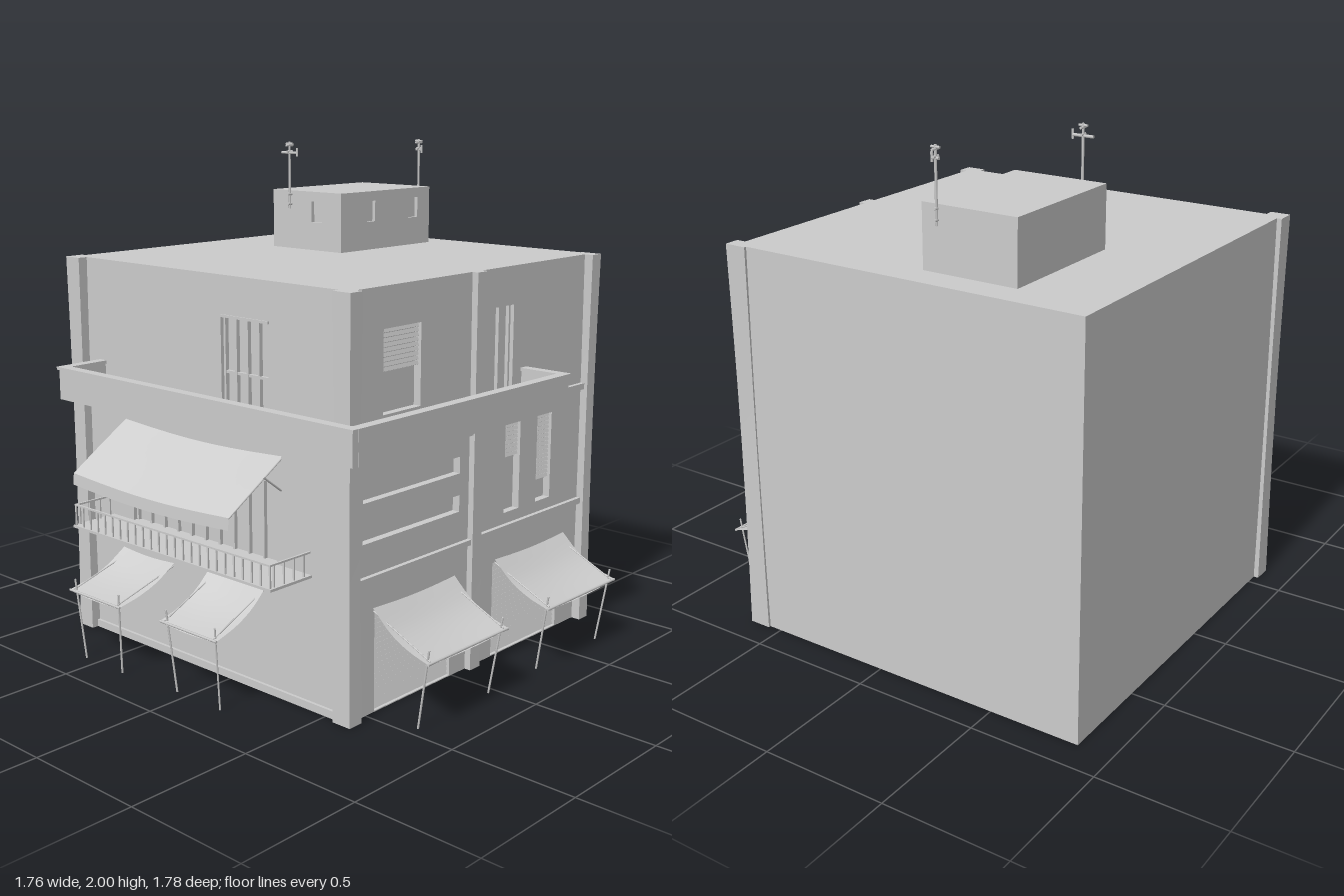
import * as THREE from 'three';

const mat = new THREE.MeshStandardMaterial({ color: 0xcccccc, side: THREE.DoubleSide });

function add(parent, name, geo) {
  const m = new THREE.Mesh(geo, mat);
  m.name = name;
  parent.add(m);
  return m;
}

// Box given by its min and max on each axis
function box(parent, name, x0, x1, y0, y1, z0, z1) {
  const m = add(parent, name, new THREE.BoxGeometry(x1 - x0, y1 - y0, z1 - z0));
  m.position.set((x0 + x1) / 2, (y0 + y1) / 2, (z0 + z1) / 2);
  return m;
}

// Thin round bar between two points
function rod(parent, name, a, b, r = 0.004) {
  const A = new THREE.Vector3(...a), B = new THREE.Vector3(...b);
  const m = add(parent, name, new THREE.CylinderGeometry(r, r, A.distanceTo(B), 6));
  m.position.copy(A).add(B).multiplyScalar(0.5);
  m.quaternion.setFromUnitVectors(new THREE.Vector3(0, 1, 0), B.sub(A).normalize());
  return m;
}

function group(parent, name) {
  const g = new THREE.Group();
  g.name = name;
  parent.add(g);
  return g;
}

// Wall in its own plane: outer face at z = 0, openings [u0, u1, v0, v1] cut through
function wall(parent, name, u0, u1, v0, v1, holes, t = 0.035) {
  const rect = (C, a, b, c, d) => new C([[a, c], [b, c], [b, d], [a, d]].map(p => new THREE.Vector2(...p)));
  const shape = rect(THREE.Shape, u0, u1, v0, v1);
  for (const h of holes) shape.holes.push(rect(THREE.Path, ...h));
  const geo = new THREE.ExtrudeGeometry(shape, { depth: t, bevelEnabled: false });
  add(parent, name, geo.translate(0, 0, -t));
  for (const [a, b, c, d] of holes) box(parent, 'openingBack', a, b, c, d, -t, -t + 0.004);
}

// Stack of tilted slats filling a rectangle
function slats(parent, name, u0, u1, v0, v1, n) {
  const g = group(parent, name), s = (v1 - v0) / n;
  for (let i = 0; i < n; i++) {
    const m = box(g, 'slat', u0, u1, v0 + s * i, v0 + s * (i + 0.85), -0.019, -0.013);
    m.rotation.x = -0.35;
  }
}

// Square pillar that narrows slightly at mid height
function pillar(parent, x0, x1, z0, z1, h, waist = 0.86) {
  const geo = new THREE.BoxGeometry(x1 - x0, h, z1 - z0, 1, 6, 1);
  const p = geo.attributes.position;
  for (let i = 0; i < p.count; i++) {
    const t = p.getY(i) / h + 0.5, k = 1 - (1 - waist) * Math.sin(Math.PI * t);
    p.setX(i, p.getX(i) * k);
    p.setZ(i, p.getZ(i) * k);
  }
  geo.computeVertexNormals();
  add(parent, 'pillar', geo).position.set((x0 + x1) / 2, h / 2, (z0 + z1) / 2);
}

// Cloth following a profile of [v, w] points, with its middle hanging lower
function cloth(parent, name, u0, u1, profile, sag) {
  const curve = new THREE.CatmullRomCurve3(profile.map(([v, w]) => new THREE.Vector3(0, v, w)));
  const geo = new THREE.PlaneGeometry(u1 - u0, 1, 10, 8), p = geo.attributes.position;
  for (let i = 0; i < p.count; i++) {
    const c = curve.getPoint(0.5 - p.getY(i));
    const k = Math.cos(Math.PI * p.getX(i) / (u1 - u0));
    p.setXYZ(i, p.getX(i) + (u0 + u1) / 2, c.y - sag * k, c.z);
  }
  geo.computeVertexNormals();
  add(parent, name, geo);
}

// Ground floor awning on two leaning poles
function poleAwning(parent, u0, u1, top, low, w, footIn, footW) {
  const g = group(parent, 'poleAwning'), d = top - low;
  cloth(g, 'awningCloth', u0, u1, [[top, 0.015], [low + d * 0.5, w * 0.35], [low + d * 0.2, w * 0.65], [low, w]], 0.008);
  rod(g, 'awningRod', [u0, low, w - 0.004], [u1, low, w - 0.004], 0.005);
  for (const [u, s] of [[u0 + 0.02, 1], [u1 - 0.02, -1]]) {
    rod(g, 'awningPole', [u, low + 0.045, w - 0.015], [u + s * footIn, 0, footW], 0.004);
    rod(g, 'awningArm', [u, top - 0.02, 0], [u, low + 0.005, w - 0.01], 0.003);
  }
}

function antenna(parent, x, z, wide) {
  const g = group(parent, 'antenna');
  rod(g, 'mast', [x, 1.72, z], [x, 1.995, z], 0.005);
  for (const y of [1.74, 1.78]) rod(g, 'mastClamp', [x, y, z - 0.012], [x, y, z + 0.012], 0.006);
  rod(g, 'topBar', [x - 0.018, 1.987, z], [x + 0.018, 1.987, z], 0.005);
  rod(g, 'topCross', [x, 1.98, z - 0.02], [x, 1.98, z + 0.02], 0.005);
  rod(g, 'crossbar', [x - wide, 1.95, z], [x + wide, 1.95, z], 0.006);
  rod(g, 'crossbarTip', [x + wide, 1.935, z], [x + wide, 1.97, z], 0.005);
  rod(g, 'sideBar', [x, 1.955, z - 0.015], [x, 1.955, z + 0.015], 0.005);
}

export function createModel() {
  const model = new THREE.Group();
  model.name = 'building';
  const H = 1.555;

  // Shell, open underneath
  box(model, 'leftWall', -0.865, -0.83, 0, H, -0.88, 0.59);
  box(model, 'backWall', -0.865, 0.605, 0, H, -0.88, -0.845);
  box(model, 'roof', -0.865, 0.605, H - 0.02, H, -0.88, 0.59);

  // Pillars at the corners and the middle of the right side
  pillar(model, -0.885, -0.805, 0.55, 0.63, H);
  pillar(model, 0.553, 0.635, 0.555, 0.62, H);
  pillar(model, 0.553, 0.643, -0.89, -0.83, H);
  pillar(model, 0.575, 0.632, -0.145, -0.083, H, 0.9);

  // Front side
  const front = group(model, 'frontSide');
  front.position.z = 0.59;
  wall(front, 'frontWall', -0.865, 0.605, 0, H, [[-0.03, 0.215, 1.04, 1.405], [-0.56, 0.25, 0.515, 0.82]]);
  box(front, 'skirting', -0.81, 0.56, 0, 0.03, 0, 0.012);
  box(front, 'doorLintel', -0.035, 0.22, 1.4, 1.41, -0.02, 0.006);
  for (let i = 0; i <= 4; i++) {
    const u = -0.025 + i * 0.059;
    box(front, 'doorStile', u - 0.005, u + 0.005, 1.04, 1.4, -0.03, -0.014);
  }
  box(front, 'doorRail', -0.03, 0.215, 1.19, 1.2, -0.03, -0.016);
  for (let i = 0; i <= 10; i++) {
    const u = -0.555 + i * 0.08;
    box(front, 'balconyDoorStile', u - 0.005, u + 0.005, 0.515, 0.82, -0.032, -0.016);
  }

  // Narrow balcony with railing
  const small = group(front, 'smallBalcony');
  box(small, 'balconyFloor', -0.685, 0.425, 0.505, 0.515, 0, 0.207);
  box(small, 'frontRail', -0.678, 0.418, 0.595, 0.602, 0.195, 0.203);
  for (let i = 0; i <= 24; i++) {
    const u = -0.674 + i * 1.088 / 24;
    box(small, 'baluster', u - 0.003, u + 0.003, 0.515, 0.597, 0.196, 0.202);
  }
  for (const u of [-0.674, 0.414]) {
    box(small, 'sideRail', u - 0.004, u + 0.004, 0.595, 0.602, 0, 0.2);
    for (let i = 0; i < 4; i++) {
      const w = 0.03 + i * 0.05;
      box(small, 'sideBaluster', u - 0.003, u + 0.003, 0.515, 0.597, w - 0.003, w + 0.003);
    }
  }

  // Wide awning with a valance and braces
  const wide = group(front, 'wideAwning');
  cloth(wide, 'awningCloth', -0.585, 0.285, [[0.93, 0.005], [0.845, 0.14], [0.76, 0.27]], 0.018);
  cloth(wide, 'valance', -0.585, 0.285, [[0.76, 0.27], [0.715, 0.274]], 0.018);
  for (const u of [-0.575, 0.275]) {
    rod(wide, 'awningArm', [u, 0.918, 0], [u, 0.755, 0.262], 0.004);
    rod(wide, 'awningBrace', [u, 0.8, 0], [u, 0.868, 0.09], 0.004);
  }
  poleAwning(front, -0.61, -0.305, 0.395, 0.285, 0.295, 0.022, 0.255);
  poleAwning(front, -0.09, 0.215, 0.435, 0.285, 0.278, 0.015, 0.23);

  // Right side, drawn in its own plane with u running to the back
  const right = group(model, 'rightSide');
  right.position.x = 0.605;
  right.rotation.y = Math.PI / 2;
  const garages = [[-0.455, -0.015, 0.004, 0.39], [0.25, 0.7, 0.004, 0.39]];
  const tall = [[0.315, 0.415, 0.58, 0.935], [0.53, 0.63, 0.58, 0.935]];
  const slots = [[-0.52, 0.03, 0.8, 0.865], [-0.52, 0.03, 0.65, 0.715]];
  wall(right, 'rightWall', -0.59, 0.88, 0, H, [...garages, ...tall, ...slots,
    [-0.415, -0.21, 1.1, 1.405], [0.21, 0.35, 1.04, 1.405]]);
  for (const [a, b, c, d] of garages) slats(right, 'rollerShutter', a, b, c, d, 20);
  slats(right, 'upperBlind', -0.415, -0.21, 1.25, 1.405, 9);
  slats(right, 'windowBlind', 0.315, 0.415, 0.8, 0.935, 8);
  slats(right, 'windowBlind', 0.53, 0.63, 0.665, 0.935, 16);
  for (const u of [0.215, 0.28, 0.345]) box(right, 'doorStile', u - 0.005, u + 0.005, 1.04, 1.405, -0.032, -0.016);

  // Floor beams between the pillars
  for (const [a, b, c, d] of [[-0.57, 0.09, 0.94, 0.967], [-0.57, 0.09, 0.508, 0.53],
    [0.135, 0.84, 1.0, 1.025], [0.135, 0.84, 0.51, 0.535]]) {
    box(right, 'floorBeam', a, b, c, d, 0, 0.018);
  }
  poleAwning(right, -0.48, -0.01, 0.41, 0.265, 0.272, 0.008, 0.205);
  poleAwning(right, 0.245, 0.72, 0.41, 0.265, 0.272, 0.008, 0.205);

  // Large corner balcony wrapping front and right
  const balcony = group(model, 'cornerBalcony');
  box(balcony, 'frontFloor', -0.735, 0.805, 1.02, 1.04, 0.59, 0.795);
  box(balcony, 'rightFloor', 0.605, 0.805, 1.02, 1.04, -0.435, 0.59);
  const parapets = [[-0.735, 0.805, 0.77, 0.797], [0.78, 0.807, -0.435, 0.77],
    [-0.735, -0.708, 0.59, 0.77], [0.605, 0.78, -0.435, -0.41]];
  for (const [x0, x1, z0, z1] of parapets) {
    box(balcony, 'parapet', x0, x1, 1.02, 1.14, z0, z1);
    box(balcony, 'parapetCap', x0 - 0.007, x1 + 0.007, 1.138, 1.15, z0 - 0.007, z1 + 0.007);
  }

  // Rooftop hut with small windows
  const hut = group(model, 'rooftopHut');
  const top = 1.795;
  box(hut, 'hutRoof', -0.535, -0.15, top - 0.015, top, -0.76, -0.195);
  box(hut, 'hutLeftWall', -0.535, -0.515, H, top, -0.76, -0.195);
  box(hut, 'hutBackWall', -0.535, -0.15, H, top, -0.76, -0.74);
  const hutFront = group(hut, 'hutFront');
  hutFront.position.z = -0.195;
  wall(hutFront, 'hutFrontWall', -0.535, -0.15, H, top, [[-0.315, -0.255, 1.67, 1.755]], 0.02);
  const hutRight = group(hut, 'hutRight');
  hutRight.position.x = -0.15;
  hutRight.rotation.y = Math.PI / 2;
  wall(hutRight, 'hutRightWall', 0.195, 0.76, H, top, [[0.355, 0.405, 1.67, 1.755], [0.62, 0.68, 1.67, 1.755]], 0.02);

  antenna(model, -0.43, -0.185, 0.043);
  antenna(model, -0.215, -0.765, 0.015);
  return model;
}
